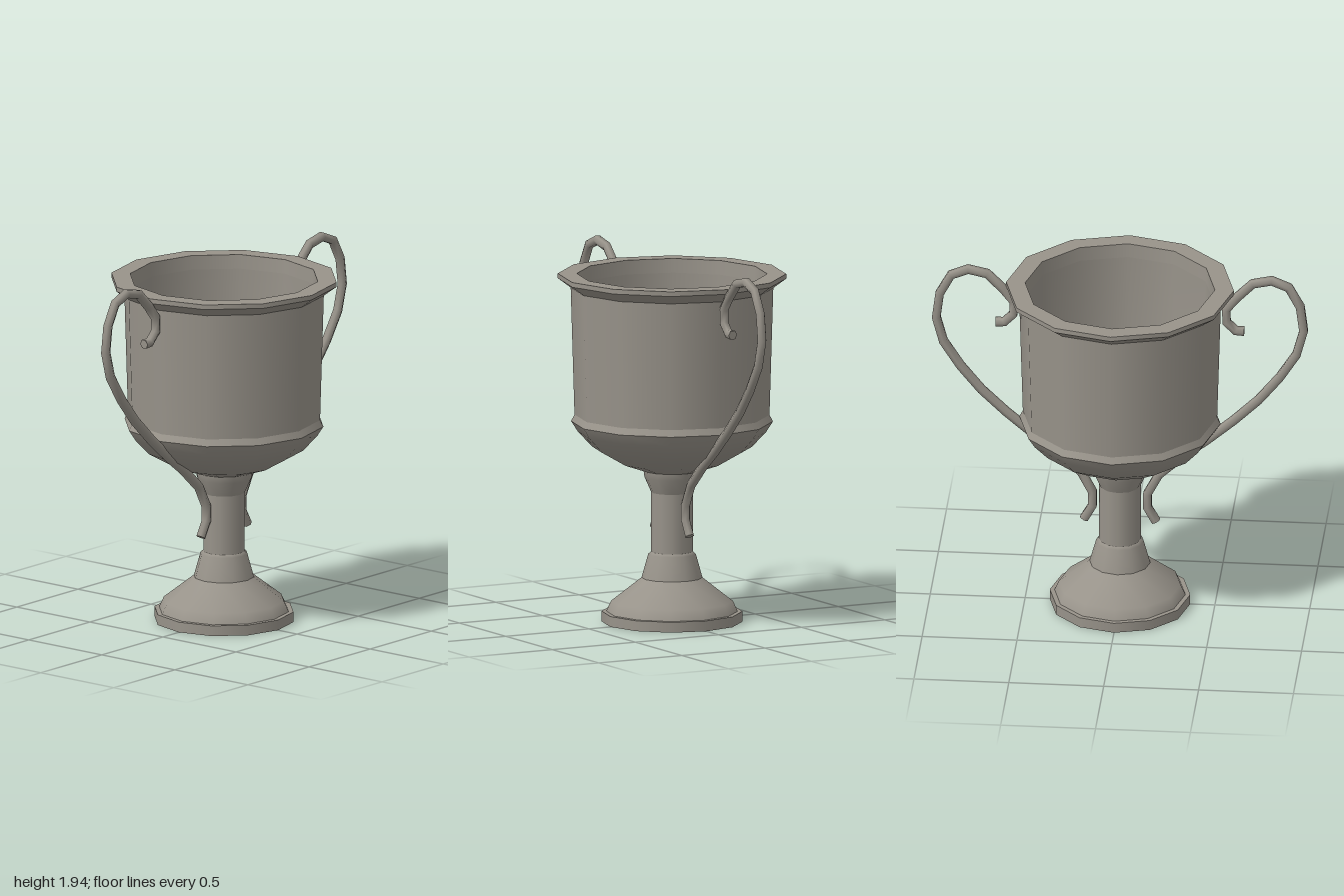
import * as THREE from 'three';

const SIDES = 12;

export function createModel() {
  const pewter = new THREE.MeshStandardMaterial({ color: 0x98938a });
  pewter.name = 'pewter';
  const trophy = new THREE.Group();
  trophy.name = 'trophyCup';

  // Each band is smooth within itself and meets its neighbours at a hard edge.
  function turned(name, bands) {
    const part = new THREE.Group();
    part.name = name;
    bands.forEach((band, i) => {
      const profile = band.map(([r, y]) => new THREE.Vector2(r, y));
      const mesh = new THREE.Mesh(new THREE.LatheGeometry(profile, SIDES), pewter);
      mesh.name = `${name}Band${i + 1}`;
      part.add(mesh);
    });
    trophy.add(part);
  }

  // Hollow foot: underside first, then up the outside
  turned('foot', [
    [[0, 0.22], [0.13, 0.22]],
    [[0.13, 0.22], [0.30, 0.10], [0.325, 0.055]],
    [[0.325, 0.055], [0.34, 0]],
    [[0.34, 0], [0.37, 0]],
    [[0.37, 0], [0.37, 0.055]],
    [[0.37, 0.055], [0.345, 0.055]],
    [[0.345, 0.055], [0.32, 0.11], [0.16, 0.235]],
  ]);

  // Stem with a flared collar at each end
  turned('stem', [
    [[0.16, 0.235], [0.125, 0.36], [0.11, 0.373]],
    [[0.11, 0.373], [0.11, 0.69]],
    [[0.11, 0.69], [0.145, 0.77], [0.15, 0.805]],
  ]);

  // Bowl outside, with a small ridge above the curved bottom
  turned('bowl', [
    [[0.15, 0.805], [0.28, 0.85], [0.42, 0.93], [0.495, 1.01], [0.53, 1.065]],
    [[0.53, 1.065], [0.512, 1.10]],
    [[0.512, 1.10], [0.532, 1.775]],
  ]);

  // Rim
  turned('rim', [
    [[0.532, 1.775], [0.60, 1.825]],
    [[0.60, 1.825], [0.60, 1.85]],
    [[0.60, 1.85], [0.50, 1.85]],
  ]);

  // Bowl inside
  turned('bowlInside', [
    [[0.50, 1.85], [0.495, 1.775]],
    [[0.495, 1.775], [0.485, 1.10], [0.45, 1.02], [0.39, 0.95], [0.26, 0.88], [0.13, 0.84], [0, 0.83]],
  ]);

  // Handle path, from the upper curl to the lower curl
  const path = new THREE.CatmullRomCurve3([
    [0.655, 1.615], [0.61, 1.617], [0.562, 1.665], [0.56, 1.74], [0.615, 1.81], [0.70, 1.895],
    [0.80, 1.917], [0.89, 1.88], [0.95, 1.77], [0.968, 1.63], [0.93, 1.49], [0.84, 1.35],
    [0.73, 1.215], [0.60, 1.09], [0.46, 0.97], [0.33, 0.87], [0.205, 0.755],
    [0.145, 0.64], [0.145, 0.56], [0.19, 0.48],
  ].map(([x, y]) => new THREE.Vector3(x, y, 0)));
  path.getUtoTmapping = (u) => u; // rings fall on the path points
  const tube = new THREE.TubeGeometry(path, path.points.length - 1, 0.026, 6);
  const capShape = new THREE.CircleGeometry(0.026, 6);
  const forward = new THREE.Vector3(0, 0, 1);

  function handle(name, turn) {
    const group = new THREE.Group();
    group.name = name;
    const bar = new THREE.Mesh(tube, pewter);
    bar.name = name + 'Bar';
    group.add(bar);
    for (const t of [0, 1]) {
      const cap = new THREE.Mesh(capShape, pewter);
      cap.name = name + 'End';
      cap.position.copy(path.getPoint(t));
      cap.quaternion.setFromUnitVectors(forward, path.getTangent(t).multiplyScalar(t ? 1 : -1));
      group.add(cap);
    }
    group.rotation.y = turn;
    trophy.add(group);
  }
  handle('leftHandle', 0);
  handle('rightHandle', Math.PI);

  return trophy;
}
